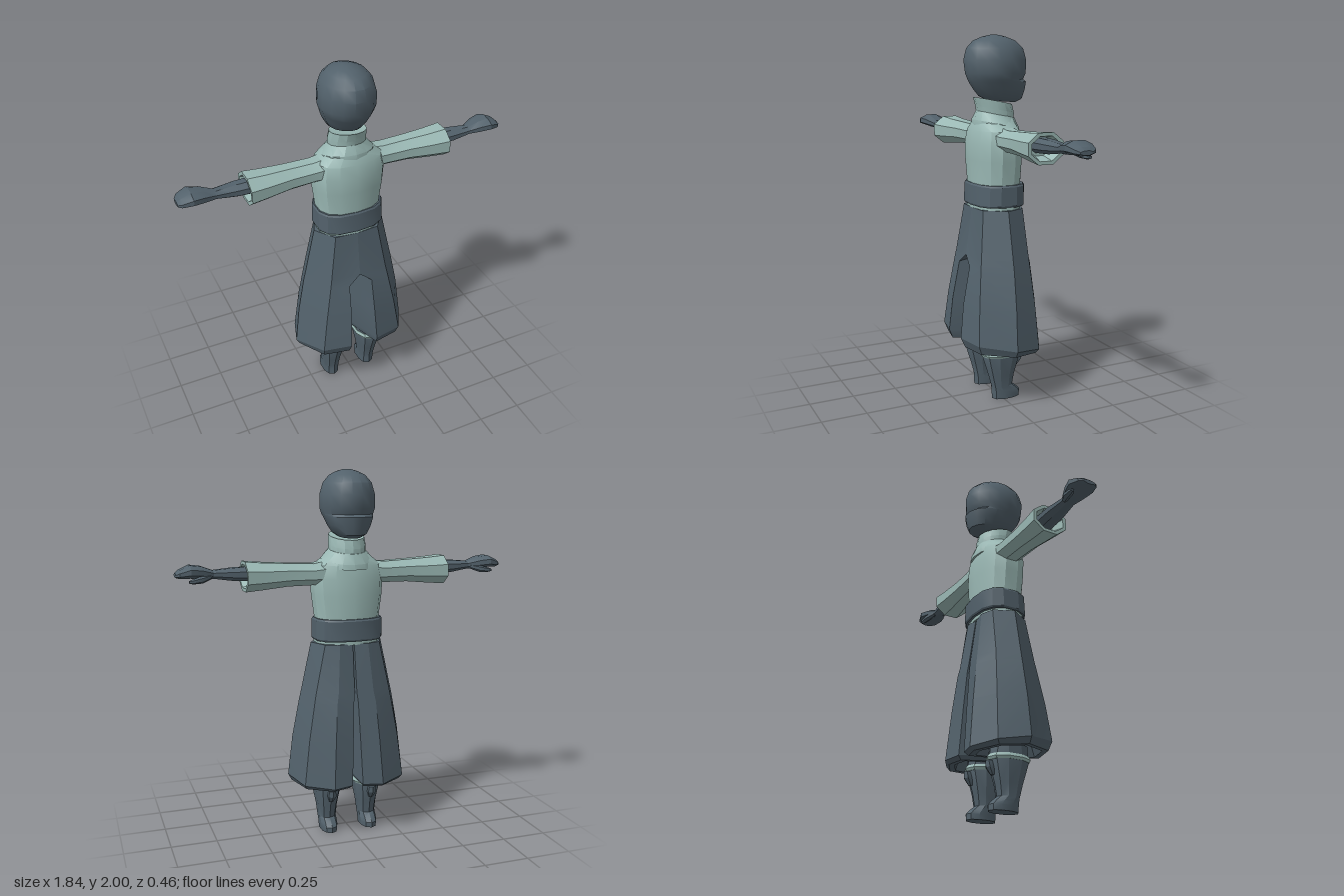
import * as THREE from 'three';
import { toCreasedNormals } from 'three/addons/utils/BufferGeometryUtils.js';

const dark = new THREE.MeshStandardMaterial({ color: 0x52616b });
dark.name = 'slate cloth';
const light = new THREE.MeshStandardMaterial({ color: 0x9ab8b4 });
light.name = 'pale cloth';

// Skins a list of point rings, closes both ends and turns the faces outward.
function loft(rings, crease = 0.45) {
  const n = rings[0].length;
  const tris = [];
  for (let r = 0; r < rings.length - 1; r++) {
    for (let i = 0; i < n; i++) {
      const j = (i + 1) % n;
      const [a, b, c, d] = [rings[r][i], rings[r][j], rings[r + 1][j], rings[r + 1][i]];
      tris.push([a, b, c], [a, c, d]);
    }
  }
  const cap = (ring, flip) => {
    const mid = ring.reduce((s, p) => s.add(p), new THREE.Vector3()).divideScalar(n);
    ring.forEach((p, i) => {
      const q = ring[(i + 1) % n];
      tris.push(flip ? [mid, q, p] : [mid, p, q]);
    });
  };
  cap(rings[0], true);
  cap(rings[rings.length - 1], false);
  let volume = 0;
  const cross = new THREE.Vector3();
  for (const [a, b, c] of tris) volume += a.dot(cross.crossVectors(b, c));
  if (volume < 0) tris.forEach((t) => t.reverse());
  const geometry = new THREE.BufferGeometry().setFromPoints(tris.flat());
  return toCreasedNormals(geometry, crease);
}

const bulge = (v, p) => Math.sign(v) * Math.abs(v) ** p;

// Level ring: height, half width, z range, tilt in y along z, centre x.
function level(y, w, z0, z1, { tilt = 0, cx = 0, n = 14, p = 1 } = {}) {
  return Array.from({ length: n }, (_, i) => {
    const t = ((i + 0.5) / n) * Math.PI * 2;
    const z = (z0 + z1) / 2 + ((z1 - z0) / 2) * bulge(Math.sin(t), p);
    return new THREE.Vector3(cx + w * bulge(Math.cos(t), p), y + tilt * z, z);
  });
}

// Upright ring across an arm.
function slice(x, y0, y1, z0, z1, n = 8) {
  return Array.from({ length: n }, (_, i) => {
    const t = ((i + 0.5) / n) * Math.PI * 2;
    return new THREE.Vector3(x, (y0 + y1) / 2 + ((y1 - y0) / 2) * Math.sin(t) * 1.05,
      (z0 + z1) / 2 + ((z1 - z0) / 2) * Math.cos(t) * 1.05);
  });
}

const mirror = (rings, side) => rings.map((r) => r.map((p) => new THREE.Vector3(p.x * side, p.y, p.z)));

export function createModel() {
  const model = new THREE.Group();
  const add = (name, geometry, material, parent = model) => {
    const mesh = new THREE.Mesh(geometry, material);
    mesh.name = name;
    parent.add(mesh);
    return mesh;
  };

  // Hooded head with a mask step low on the face (-z side)
  const headLevels = [
    [1.655, 0.06, -0.14, 0.03, 0.08], [1.675, 0.09, -0.175, 0.075, 0.08],
    [1.715, 0.115, -0.19, 0.105, 0.04], [1.755, 0.132, -0.196, 0.128, 0],
    [1.768, 0.137, -0.175, 0.134, 0], [1.8, 0.148, -0.19, 0.147, 0],
    [1.87, 0.146, -0.194, 0.157, 0], [1.93, 0.128, -0.178, 0.142, 0],
    [1.97, 0.095, -0.135, 0.105, 0], [1.99, 0.055, -0.08, 0.055, 0], [2.0, 0.02, -0.04, 0.01, 0],
  ];
  add('head', loft(headLevels.map(([y, w, a, b, tilt]) => level(y, w, a, b, { tilt, n: 16 })), 0.6), dark);

  // Tunic body
  const torso = [
    [1.075, 0.182, -0.137, 0.122], [1.2, 0.176, -0.14, 0.118], [1.34, 0.195, -0.145, 0.127],
    [1.43, 0.2, -0.14, 0.128], [1.5, 0.185, -0.132, 0.115], [1.54, 0.135, -0.12, 0.1], [1.58, 0.09, -0.1, 0.08],
  ];
  add('tunic', loft(torso.map(([y, w, a, b]) => level(y, w, a, b, { p: 0.85 }))), light);

  // Draped cowl, dipping toward the face side, and the standing collar
  add('cowl', loft([
    level(1.5, 0.15, -0.148, 0.105, { tilt: 0.15 }), level(1.535, 0.145, -0.146, 0.105, { tilt: 0.2 }),
    level(1.585, 0.1, -0.125, 0.085, { tilt: 0.2 }),
  ]), light);
  add('collar', loft([
    level(1.56, 0.1, -0.12, 0.08, { tilt: 0.2 }), level(1.61, 0.102, -0.122, 0.088, { tilt: 0.2 }),
    level(1.655, 0.096, -0.112, 0.102, { tilt: 0.2 }), level(1.65, 0.08, -0.095, 0.085, { tilt: 0.2 }),
  ]), light);

  // Wide belt
  add('belt', loft([
    level(1.095, 0.186, -0.15, 0.128, { p: 0.75 }), level(1.105, 0.192, -0.156, 0.133, { p: 0.75 }),
    level(1.205, 0.19, -0.156, 0.128, { p: 0.75 }), level(1.215, 0.184, -0.15, 0.122, { p: 0.75 }),
  ]), dark);

  // Baggy trouser leg: inner front, front, outer, outer back, back, inner back, inner
  const flat = (y, tilt, pts) => pts.map(([x, z]) => new THREE.Vector3(x, y + tilt * z, z));
  const hem = [[0.08, 0.228], [0.24, 0.192], [0.338, 0.01], [0.285, -0.15], [0.14, -0.228], [0.03, -0.205], [0.012, -0.02]];
  const shrink = (k) => hem.map(([x, z]) => [0.15 + (x - 0.15) * k, z * k]);
  const trouser = [
    flat(1.08, 0, [[0, 0.122], [0.125, 0.112], [0.203, 0], [0.155, -0.11], [0.08, -0.138], [0.004, -0.128], [0, 0]]),
    flat(0.82, 0, [[0, 0.158], [0.165, 0.142], [0.26, 0], [0.21, -0.12], [0.1, -0.172], [0.006, -0.165], [0, 0]]),
    flat(0.765, 0, [[0.068, 0.168], [0.175, 0.15], [0.273, 0], [0.22, -0.124], [0.11, -0.182], [0.012, -0.172], [0.006, 0]]),
    flat(0.56, 0, [[0.072, 0.208], [0.212, 0.175], [0.312, 0.005], [0.255, -0.138], [0.125, -0.205], [0.02, -0.188], [0.008, -0.01]]),
    flat(0.335, 0.15, hem),
    flat(0.3, 0.08, shrink(0.9)),
    flat(0.3, 0.08, shrink(0.75)),
    flat(0.4, 0, shrink(0.6)),
  ];

  // Boot with toe toward -z, pale cuff and side knot
  const boot = [
    [0, 0.046, -0.112, 0.056], [0.03, 0.049, -0.114, 0.058], [0.05, 0.049, -0.095, 0.058],
    [0.075, 0.05, -0.064, 0.06], [0.14, 0.057, -0.076, 0.078], [0.25, 0.078, -0.108, 0.113], [0.34, 0.076, -0.1, 0.105],
  ].map(([y, w, a, b]) => level(y, w, a, b, { cx: 0.118, n: 10, p: 0.9 }));
  const cuff = [[0.255, 0.08, -0.112, 0.117], [0.268, 0.087, -0.12, 0.124], [0.285, 0.08, -0.11, 0.115]]
    .map(([y, w, a, b]) => level(y, w, a, b, { cx: 0.118, n: 10, p: 0.9 }));
  const knot = [[0.18, 0.012, -0.1, -0.075], [0.215, 0.026, -0.126, -0.08], [0.25, 0.022, -0.13, -0.09]]
    .map(([y, w, a, b]) => level(y, w, a, b, { cx: 0.118, n: 6 }));

  // Sleeve with a hollow opening, forearm with mitten hand, thumb
  const sleeve = [
    slice(0.1, 1.39, 1.53, -0.1, 0.07), slice(0.2, 1.395, 1.512, -0.095, 0.06),
    slice(0.34, 1.393, 1.518, -0.092, 0.068), slice(0.47, 1.38, 1.525, -0.1, 0.085),
    slice(0.568, 1.372, 1.534, -0.108, 0.098), slice(0.568, 1.39, 1.516, -0.088, 0.078),
    slice(0.5, 1.41, 1.5, -0.065, 0.055),
  ];
  const hand = [
    slice(0.48, 1.425, 1.505, -0.06, 0.05), slice(0.62, 1.432, 1.502, -0.056, 0.046),
    slice(0.73, 1.448, 1.492, -0.04, 0.034), slice(0.79, 1.45, 1.515, -0.066, 0.055),
    slice(0.85, 1.455, 1.523, -0.082, 0.068), slice(0.905, 1.455, 1.498, -0.066, 0.05),
    slice(0.922, 1.46, 1.482, -0.04, 0.03),
  ];
  const thumb = [
    slice(0.74, 1.45, 1.475, -0.045, -0.02, 6), slice(0.79, 1.432, 1.468, -0.075, -0.035, 6),
    slice(0.84, 1.43, 1.455, -0.08, -0.045, 6), slice(0.86, 1.434, 1.448, -0.075, -0.055, 6),
  ];

  const arms = new THREE.Group();
  arms.name = 'arms';
  arms.rotation.y = 0.018;
  model.add(arms);
  for (const [side, name] of [[1, 'left'], [-1, 'right']]) {
    add(`${name} trouser leg`, loft(mirror(trouser, side), 0.3), dark);
    add(`${name} boot`, loft(mirror(boot, side)), dark);
    add(`${name} boot cuff`, loft(mirror(cuff, side)), light);
    add(`${name} boot knot`, loft(mirror(knot, side)), dark);
    add(`${name} sleeve`, loft(mirror(sleeve, side)), light, arms);
    add(`${name} hand`, loft(mirror(hand, side)), dark, arms);
    add(`${name} thumb`, loft(mirror(thumb, side)), dark, arms);
  }
  return model;
}
